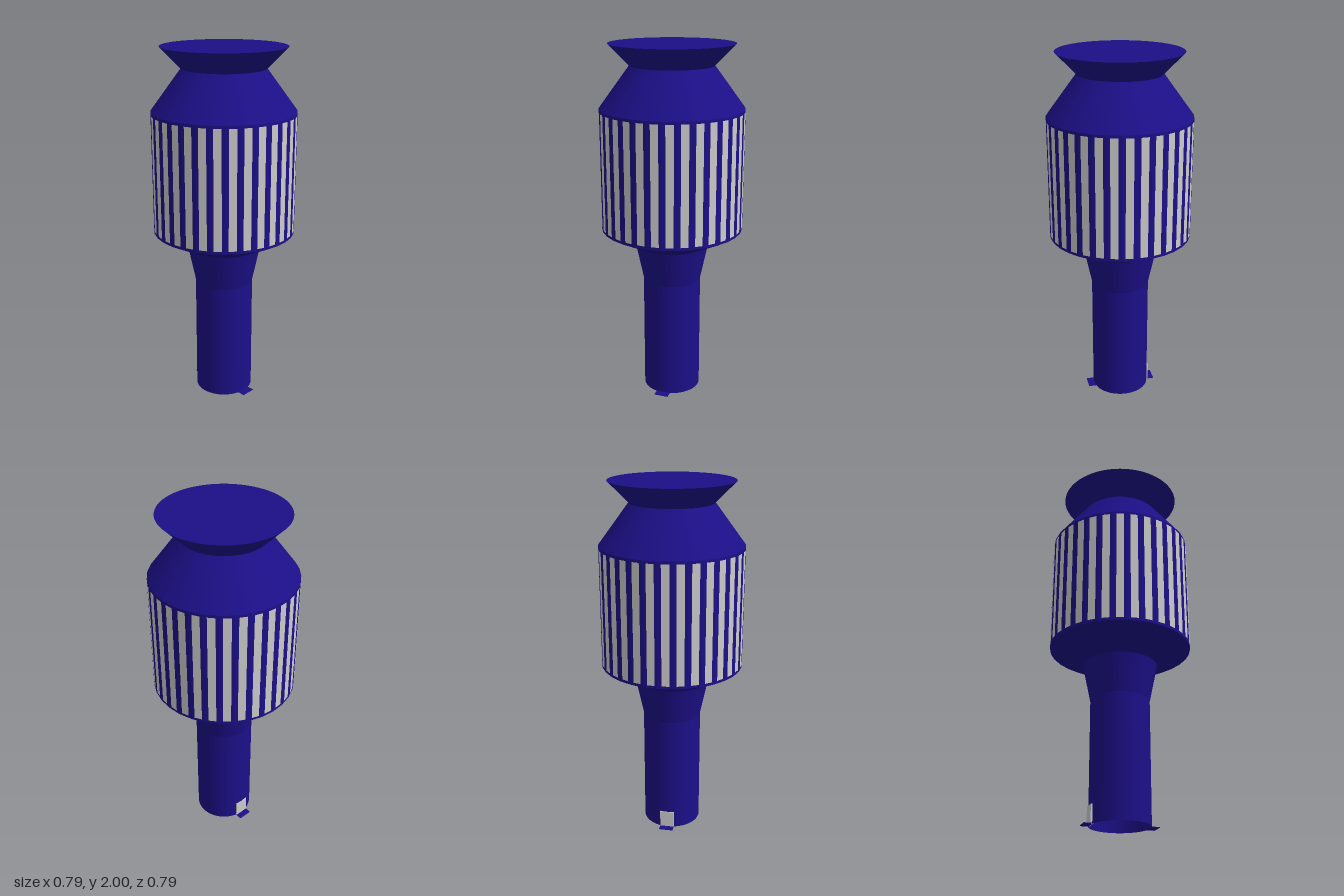
import * as THREE from 'three';

const SIDES = 32;
const blue = new THREE.MeshStandardMaterial({ color: 0x1c0f88, side: THREE.DoubleSide });
const blueFlat = new THREE.MeshStandardMaterial({ color: 0x1c0f88, side: THREE.DoubleSide, flatShading: true });
const grey = new THREE.MeshStandardMaterial({ color: 0xcccccc, side: THREE.DoubleSide });

function add(parent, name, geometry, material, x = 0, y = 0, z = 0) {
  const mesh = new THREE.Mesh(geometry, material);
  mesh.name = name;
  mesh.position.set(x, y, z);
  parent.add(mesh);
  return mesh;
}

// Open ring of wall between two heights
function wall(parent, name, y0, r0, y1, r1, material = blue, sides = SIDES) {
  const geometry = new THREE.CylinderGeometry(r1, r0, y1 - y0, sides, 1, true);
  return add(parent, name, geometry, material, 0, (y0 + y1) / 2, 0);
}

export function createModel() {
  const tower = new THREE.Group();
  tower.name = 'waterTower';

  // Stem, open at the bottom, widening below the tank
  wall(tower, 'stem', 0, 0.163, 0.68, 0.163);
  wall(tower, 'stemFlare', 0.68, 0.163, 0.89, 0.207);

  // Tank with its conical underside and shoulder
  const tankR = 0.395, tankY0 = 0.985, tankY1 = 1.66;
  wall(tower, 'tankUnderside', 0.89, 0.207, tankY0, tankR);
  wall(tower, 'tank', tankY0, tankR, tankY1, tankR, blueFlat);
  wall(tower, 'tankShoulder', tankY1, tankR, 1.885, 0.228);

  // Flared crown with a flat roof
  wall(tower, 'crown', 1.885, 0.228, 2, 0.34, blue, 64);
  add(tower, 'roof', new THREE.CircleGeometry(0.34, 64).rotateX(-Math.PI / 2), blue, 0, 2, 0);

  // One pale strip centred on every facet of the tank
  const strips = new THREE.Group();
  strips.name = 'tankStrips';
  tower.add(strips);
  const stripGeometry = new THREE.PlaneGeometry(0.042, 0.645);
  const apothem = tankR * Math.cos(Math.PI / SIDES) + 0.0015;
  for (let i = 0; i < SIDES; i++) {
    const a = ((i + 0.5) / SIDES) * Math.PI * 2;
    const strip = add(strips, 'strip', stripGeometry, grey, apothem * Math.sin(a), 1.323, apothem * Math.cos(a));
    strip.rotation.y = a;
  }

  // Door set through the stem wall
  add(tower, 'door', new THREE.BoxGeometry(0.014, 0.1, 0.08), grey, -0.159, 0.05, 0);

  // Thin doorstep plates on both sides
  for (const side of [-1, 1]) {
    add(tower, 'doorstep', new THREE.BoxGeometry(0.045, 0.004, 0.08), blue, side * 0.1785, 0.002, 0);
  }
  return tower;
}
